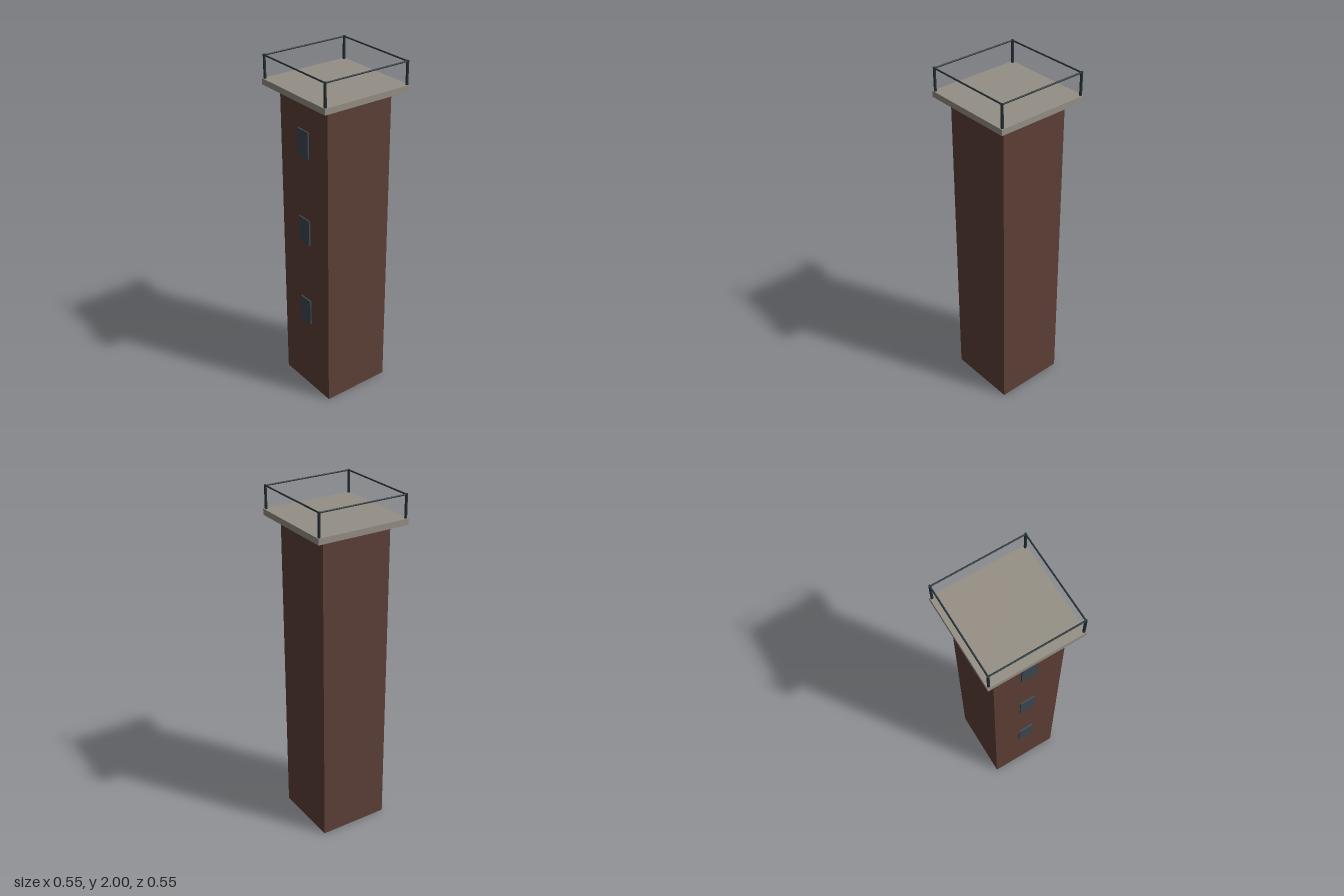
import * as THREE from 'three';

const mat = (name, color) => {
  const m = new THREE.MeshStandardMaterial({ color });
  m.name = name;
  return m;
};

export function createModel() {
  const brick = mat('brownBrick', 0x5d4037);
  const stone = mat('greyStone', 0x958f85);
  const glass = mat('darkGlass', 0x3c4850);
  const iron = mat('blackIron', 0x263238);

  const model = new THREE.Group();
  model.name = 'tower';
  const add = (parent, name, geometry, material, x, y, z) => {
    const mesh = new THREE.Mesh(geometry, material);
    mesh.name = name;
    mesh.position.set(x, y, z);
    parent.add(mesh);
    return mesh;
  };

  // Square shaft and overhanging roof platform
  add(model, 'shaft', new THREE.BoxGeometry(0.414, 1.835, 0.414), brick, 0, 0.9175, 0);
  add(model, 'platform', new THREE.BoxGeometry(0.547, 0.034, 0.547), stone, 0, 1.852, 0);

  // Three windows up the front
  const pane = new THREE.BoxGeometry(0.092, 0.156, 0.009);
  [0.53, 1.053, 1.575].forEach((y) => add(model, 'window', pane, glass, 0, y, 0.2115));

  // Railing: one post and one top rail per side, turned around the platform
  const edge = 0.262;
  const post = new THREE.CylinderGeometry(0.0075, 0.0075, 0.131, 8);
  const rail = new THREE.CylinderGeometry(0.0045, 0.0045, edge * 2, 8).rotateZ(Math.PI / 2);
  for (let i = 0; i < 4; i++) {
    const side = new THREE.Group();
    side.name = 'railingSide';
    side.rotation.y = (i * Math.PI) / 2;
    add(side, 'railingPost', post, iron, edge, 1.9345, edge);
    add(side, 'topRail', rail, iron, 0, 1.9955, edge);
    model.add(side);
  }
  return model;
}
